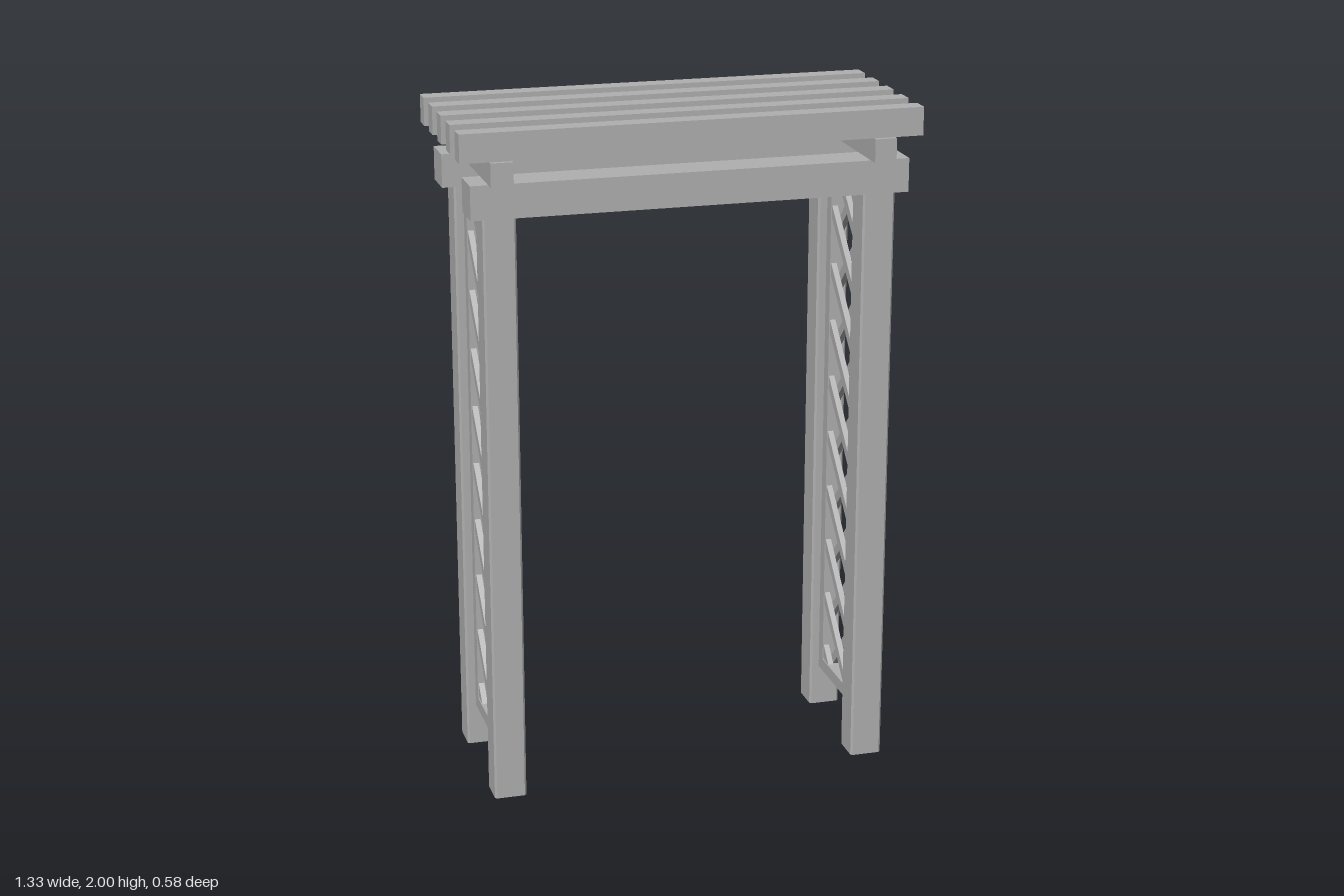
import * as THREE from 'three';

export function createModel() {
  const model = new THREE.Group();
  model.name = 'gardenArbor';
  const wood = new THREE.MeshStandardMaterial({ color: 0xb0b0b0 });
  wood.name = 'grey wood';

  const add = (parent, name, geometry, x, y, z) => {
    const mesh = new THREE.Mesh(geometry, wood);
    mesh.name = name;
    mesh.position.set(x, y, z);
    parent.add(mesh);
    return mesh;
  };
  const box = (parent, name, w, h, d, x, y, z) =>
    add(parent, name, new THREE.BoxGeometry(w, h, d), x, y, z);

  // Square posts with narrow chamfers along the upright edges
  const a = 0.0475, b = a - 0.006;
  const section = new THREE.Shape(
    [[a, -b], [a, b], [b, a], [-b, a], [-a, b], [-a, -b], [-b, -a], [b, -a]]
      .map(([x, y]) => new THREE.Vector2(x, y)));
  const postGeometry = new THREE.ExtrudeGeometry(section, { depth: 1.753, bevelEnabled: false });
  postGeometry.rotateX(-Math.PI / 2);

  // Lattice panel: rectangular frame filled with two layers of diagonal slats
  const bottom = 0.127, top = 1.742, half = 0.152, bar = 0.038, depth = 0.04;
  const spacing = 0.177, firstCrossing = 0.257, slatWidth = 0.027;
  function latticePanel(x) {
    const panel = new THREE.Group();
    panel.name = 'latticePanel';
    panel.position.x = x;
    const height = top - bottom;
    for (const s of [-1, 1]) {
      box(panel, 'latticeStile', depth, height, bar, 0, (top + bottom) / 2, s * (half - bar / 2));
      box(panel, 'latticeRail', depth, bar, 2 * (half - bar), 0,
        s > 0 ? top - bar / 2 : bottom + bar / 2, 0);
      // Each layer leans the opposite way; slat ends stop inside the frame
      for (let k = -1; k <= 9; k++) {
        const c = firstCrossing + k * spacing;
        const t0 = Math.max(-0.125, bottom + 0.025 - c);
        const t1 = Math.min(0.125, top - 0.025 - c);
        if (t1 - t0 < 0.03) continue;
        const mid = (t0 + t1) / 2;
        const slat = box(panel, 'latticeSlat', 0.017, slatWidth, (t1 - t0) * Math.SQRT2,
          s * 0.0085, c + mid, s * mid);
        slat.rotation.x = -s * Math.PI / 4;
      }
    }
    model.add(panel);
  }

  for (const sx of [-1, 1]) {
    for (const sz of [-1, 1]) add(model, 'post', postGeometry, sx * 0.552, 0, sz * 0.198);
    latticePanel(sx * 0.552);
    // Short cross beam joining the two long beams
    box(model, 'crossBeam', 0.064, 0.068, 0.582, sx * 0.552, 1.884, 0);
  }

  // Long beams resting on the posts
  for (const sz of [-1, 1]) box(model, 'longBeam', 1.27, 0.098, 0.112, 0, 1.801, sz * 0.201);

  // Five roof rafters
  for (let i = -2; i <= 2; i++) box(model, 'roofRafter', 1.334, 0.082, 0.056, 0, 1.959, i * 0.125);

  return model;
}
